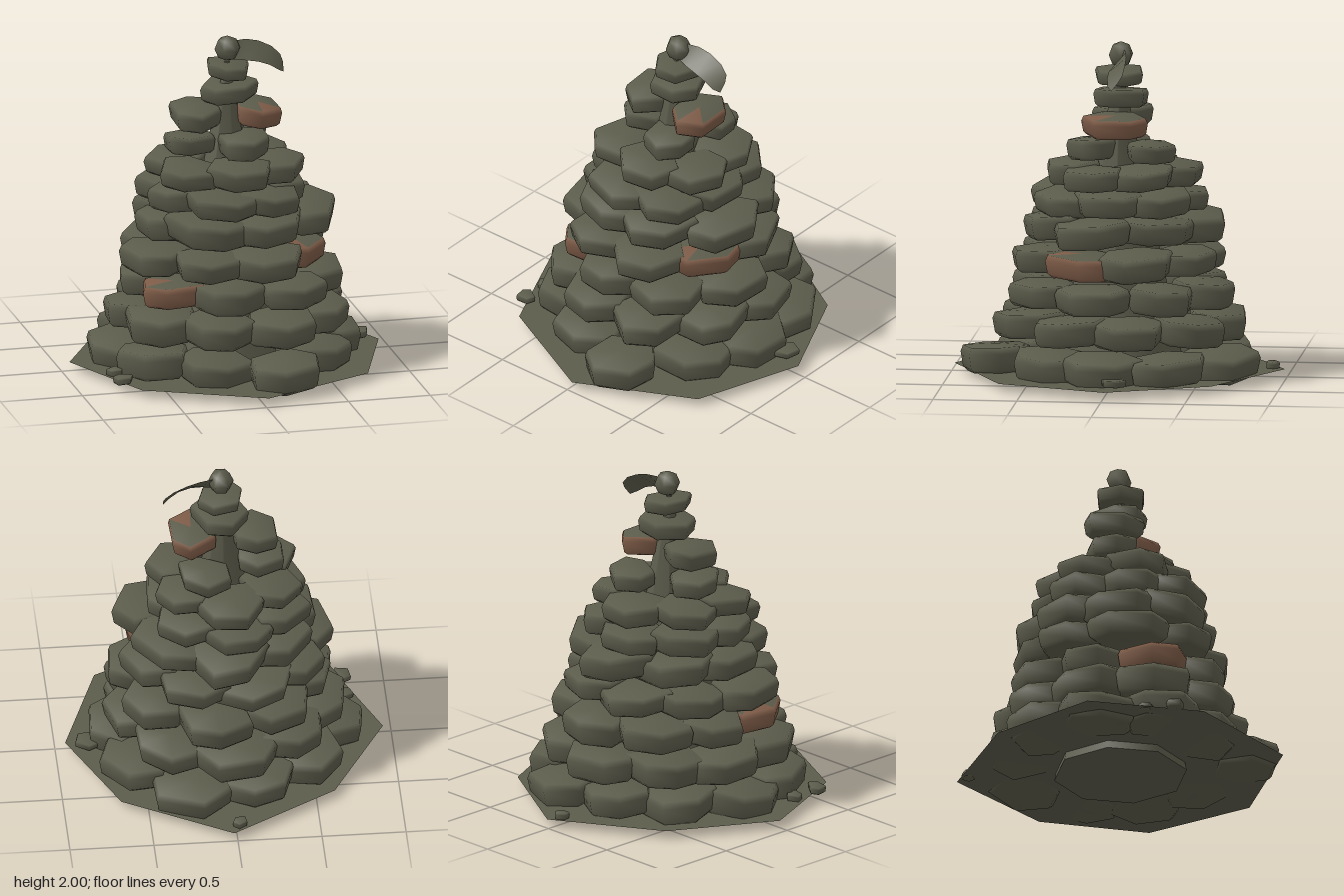
import * as THREE from 'three';

const stoneMat = new THREE.MeshStandardMaterial({ color: 0x5c5c4c });
stoneMat.name = 'mossy stone';
const clayMat = new THREE.MeshStandardMaterial({ color: 0x7d5b47 });
clayMat.name = 'red clay stone';
const sheetMat = new THREE.MeshStandardMaterial({ color: 0x5c5c4c, side: THREE.DoubleSide });
sheetMat.name = 'thin stone grey';

// small seeded generator
function seeded(seed) {
  let s = seed;
  return () => {
    s = (s * 16807) % 2147483647;
    return s / 2147483647;
  };
}

// flat irregular slab, long side facing out; half width w (x), half depth d (z), thickness h
function slabGeometry(w, d, h, rand, sides = 6) {
  const profile = [[0.82, -0.5], [0.94, -0.34], [1, 0.2], [0.93, 0.44]];
  const turn = 0.35 + rand() * 0.3;
  const lean = (rand() - 0.5) * 0.2;
  const outline = [];
  for (let j = 0; j < sides; j++) {
    const a = ((j + turn + (rand() - 0.5) * 0.3) / sides) * Math.PI * 2;
    const r = 0.98 + rand() * 0.16;
    outline.push([Math.sin(a) * r * w, Math.cos(a) * r * d]);
  }
  const pos = [0, -0.5 * h, 0];
  for (const [s, y] of profile) {
    for (const [x, z] of outline) pos.push(x * s, y * h + x * s * lean, z * s);
  }
  pos.push(0, 0.5 * h, 0);
  const top = pos.length / 3 - 1;
  const at = (i, j) => 1 + i * sides + (j % sides);
  const index = [];
  for (let j = 0; j < sides; j++) index.push(0, at(0, j + 1), at(0, j));
  for (let i = 0; i < profile.length - 1; i++) {
    for (let j = 0; j < sides; j++) {
      index.push(at(i, j), at(i, j + 1), at(i + 1, j));
      index.push(at(i + 1, j), at(i, j + 1), at(i + 1, j + 1));
    }
  }
  for (let j = 0; j < sides; j++) index.push(at(3, j), at(3, j + 1), top);
  const geo = new THREE.BufferGeometry();
  geo.setAttribute('position', new THREE.Float32BufferAttribute(pos, 3));
  geo.setIndex(index);
  geo.computeVertexNormals();
  return geo;
}

// each course: height, thickness, stone half width, first angle, outer reach of each
// evenly spaced stone, index of its clay stone
const courses = [
  { y: 0.125, h: 0.16, size: 0.21, start: 15, reach: [0.93, 0.78, 0.8, 0.82, 0.87, 0.78, 0.78, 0.82, 0.8, 0.76] },
  { y: 0.335, h: 0.155, size: 0.21, start: 22, reach: [0.74, 0.73, 0.73, 0.76, 0.76, 0.72, 0.72, 0.74, 0.7] },
  { y: 0.525, h: 0.15, size: 0.2, start: -55, reach: [0.66, 0.64, 0.7, 0.7, 0.7, 0.69, 0.66, 0.62], clay: 0 },
  { y: 0.72, h: 0.14, size: 0.2, start: 18, reach: [0.63, 0.58, 0.62, 0.64, 0.62, 0.62, 0.68, 0.63], clay: 1 },
  { y: 0.915, h: 0.15, size: 0.22, start: 24, reach: [0.58, 0.66, 0.6, 0.62, 0.56, 0.56, 0.56] },
  { y: 1.07, h: 0.13, size: 0.19, start: -17, reach: [0.54, 0.52, 0.47, 0.52, 0.53, 0.52, 0.5] },
  { y: 1.225, h: 0.12, size: 0.18, start: 3, reach: [0.43, 0.46, 0.46, 0.48, 0.47, 0.47] },
  { y: 1.365, h: 0.12, size: 0.14, start: 28, reach: [0.3, 0.36, 0.35] },
  { y: 1.525, h: 0.115, size: 0.155, start: 88, reach: [0.33, 0.32], clay: 0 },
];

export function createModel() {
  const model = new THREE.Group();
  model.name = 'stoneCairn';
  const rand = seeded(4711);
  const add = (geo, mat, name, x = 0, y = 0, z = 0) => {
    const mesh = new THREE.Mesh(geo, mat);
    mesh.name = name;
    mesh.position.set(x, y, z);
    model.add(mesh);
    return mesh;
  };

  // ground sheet: uneven octagon
  const corners = [[0.02, 0.99], [0.66, 0.62], [0.94, 0.01], [0.71, -0.64],
    [0.02, -0.98], [-0.67, -0.64], [-0.95, 0.01], [-0.61, 0.62]];
  const ground = new THREE.ShapeGeometry(new THREE.Shape(corners.map(([x, y]) => new THREE.Vector2(x, y))));
  ground.rotateX(-Math.PI / 2);
  add(ground, sheetMat, 'groundSheet', 0, 0.05, 0);

  // tapered inner core
  add(new THREE.CylinderGeometry(0.015, 0.4, 1.85, 8), stoneMat, 'core', 0.01, 0.925, 0);

  // rings of slabs
  courses.forEach((c, n) => {
    c.reach.forEach((reach, i) => {
      const w = c.size * (1 + rand() * 0.18);
      const d = c.size * (0.9 + rand() * 0.12);
      const isClay = c.clay === i;
      const a = THREE.MathUtils.degToRad(c.start + (i * 360) / c.reach.length);
      const r = reach - d * 0.95;
      const geo = slabGeometry(w, d, c.h * (0.92 + rand() * 0.18), rand);
      if (isClay) {
        // clay body, its top grey except for one wedge
        const cap = geo.index.count - 18;
        geo.addGroup(0, cap, 0);
        geo.addGroup(cap, 12, 1);
        geo.addGroup(cap + 12, 3, 0);
        geo.addGroup(cap + 15, 3, 1);
      }
      const slab = add(geo, isClay ? [clayMat, stoneMat] : stoneMat,
        isClay ? 'clayStone' : `course${n + 1}Stone`,
        Math.sin(a) * r, c.y + (rand() - 0.5) * 0.02, Math.cos(a) * r);
      slab.rotation.set(rand() * 0.08, a, 0, 'YXZ');
    });
  });

  // single slabs near the peak
  add(slabGeometry(0.165, 0.16, 0.11, rand), stoneMat, 'upperSlab', 0.02, 1.67, -0.01);
  add(slabGeometry(0.14, 0.15, 0.085, rand), stoneMat, 'topSlab', 0.02, 1.8, -0.01);

  // rounded peak stone
  add(new THREE.SphereGeometry(0.078, 6, 4), stoneMat, 'peakStone', 0.015, 1.925, -0.01);

  // drooping leaf-like strip: upper and lower edge points (x, y)
  const upper = [[0.04, 1.96], [0.14, 1.96], [0.22, 1.94], [0.3, 1.9], [0.35, 1.85], [0.36, 1.81]];
  const lower = [[0.04, 1.86], [0.12, 1.855], [0.19, 1.845], [0.26, 1.82], [0.32, 1.78], [0.355, 1.76]];
  const widths = [0.02, 0.045, 0.055, 0.055, 0.045, 0.02];
  const strip = new THREE.PlaneGeometry(1, 1, 5, 1);
  for (let i = 0; i < 6; i++) {
    strip.attributes.position.setXYZ(i, ...upper[i], -0.01 - widths[i]);
    strip.attributes.position.setXYZ(i + 6, ...lower[i], -0.01 + widths[i]);
  }
  strip.computeVertexNormals();
  add(strip, sheetMat, 'droopingStrip');

  // loose pebbles
  const pebbles = [[-0.75, 0.075, 0.48, 0.06], [-0.75, 0.07, 0.3, 0.05], [-0.02, 0.068, -0.91, 0.045],
    [0.81, 0.085, -0.05, 0.08]];
  for (const [x, y, z, r] of pebbles) {
    add(slabGeometry(r, r * 0.9, 0.045, rand, 5), stoneMat, 'pebble', x, y, z);
  }
  return model;
}
